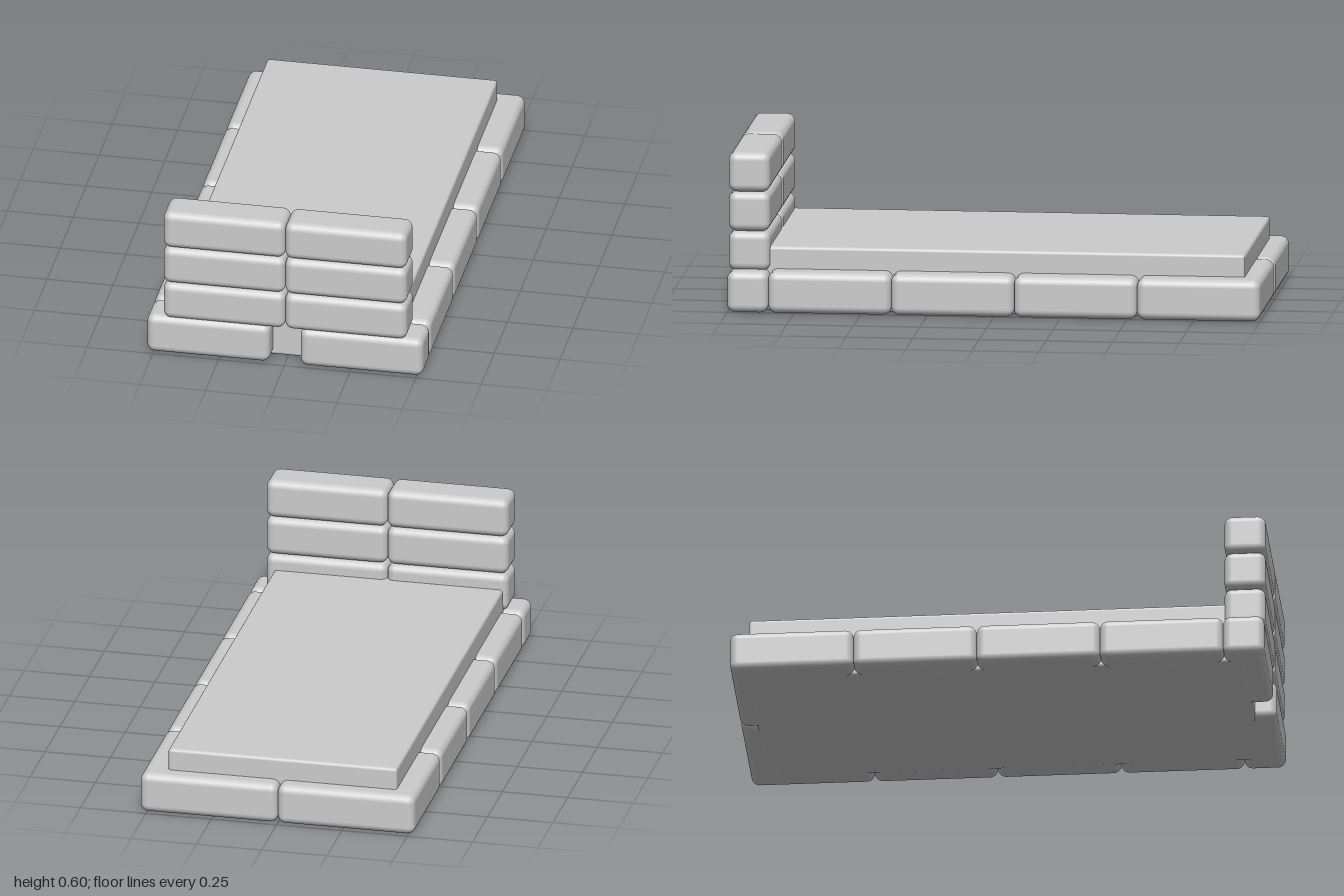
import * as THREE from 'three';
import { RoundedBoxGeometry } from 'three/addons/geometries/RoundedBoxGeometry.js';

export function createModel() {
  const model = new THREE.Group();
  model.name = 'bed';
  const material = new THREE.MeshStandardMaterial({ color: 0xcccccc });

  // Rounded cushion spanning two opposite corners
  function block(name, min, max, radius = 0.03) {
    const size = max.map((v, i) => v - min[i]);
    const mesh = new THREE.Mesh(new RoundedBoxGeometry(...size, 4, radius), material);
    mesh.position.set(...max.map((v, i) => (v + min[i]) / 2));
    mesh.name = name;
    model.add(mesh);
  }

  // Block placed on the left (side = 1) or mirrored to the right (side = -1)
  function sideBlock(name, side, x0, x1, y0, y1, z0, z1) {
    const a = side * x0, b = side * x1;
    block(name, [Math.min(a, b), y0, z0], [Math.max(a, b), y1, z1]);
  }

  // Mattress, reaching down to the floor between the frame cushions
  block('mattress', [-0.445, 0, -0.935], [0.43, 0.24, 0.92], 0.012);

  const bottom = 0.002, frameTop = 0.157;
  for (const side of [1, -1]) {
    const label = side > 0 ? 'left' : 'right';

    // Frame cushions along the sides
    const length = 0.4615;
    for (let i = 0; i < 4; i++) {
      const z = -1 + i * length;
      sideBlock(`${label}SideCushion${i + 1}`, side, 0.37, 0.525, bottom, frameTop, z, z + length);
    }

    // Foot cushions meet in the middle, head cushions leave a gap
    sideBlock(`${label}FootCushion`, side, 0, 0.525, bottom, frameTop, -1, -0.845);
    sideBlock(`${label}HeadCushion`, side, 0.058, 0.525, bottom, frameTop, 0.846, 1);

    // Headboard stack
    for (let row = 0; row < 3; row++) {
      const y = 0.15 + row * 0.149;
      sideBlock(`${label}HeadboardCushion${row + 1}`, side, 0, 0.463, y, y + 0.149, 0.846, 1);
    }
  }
  return model;
}
